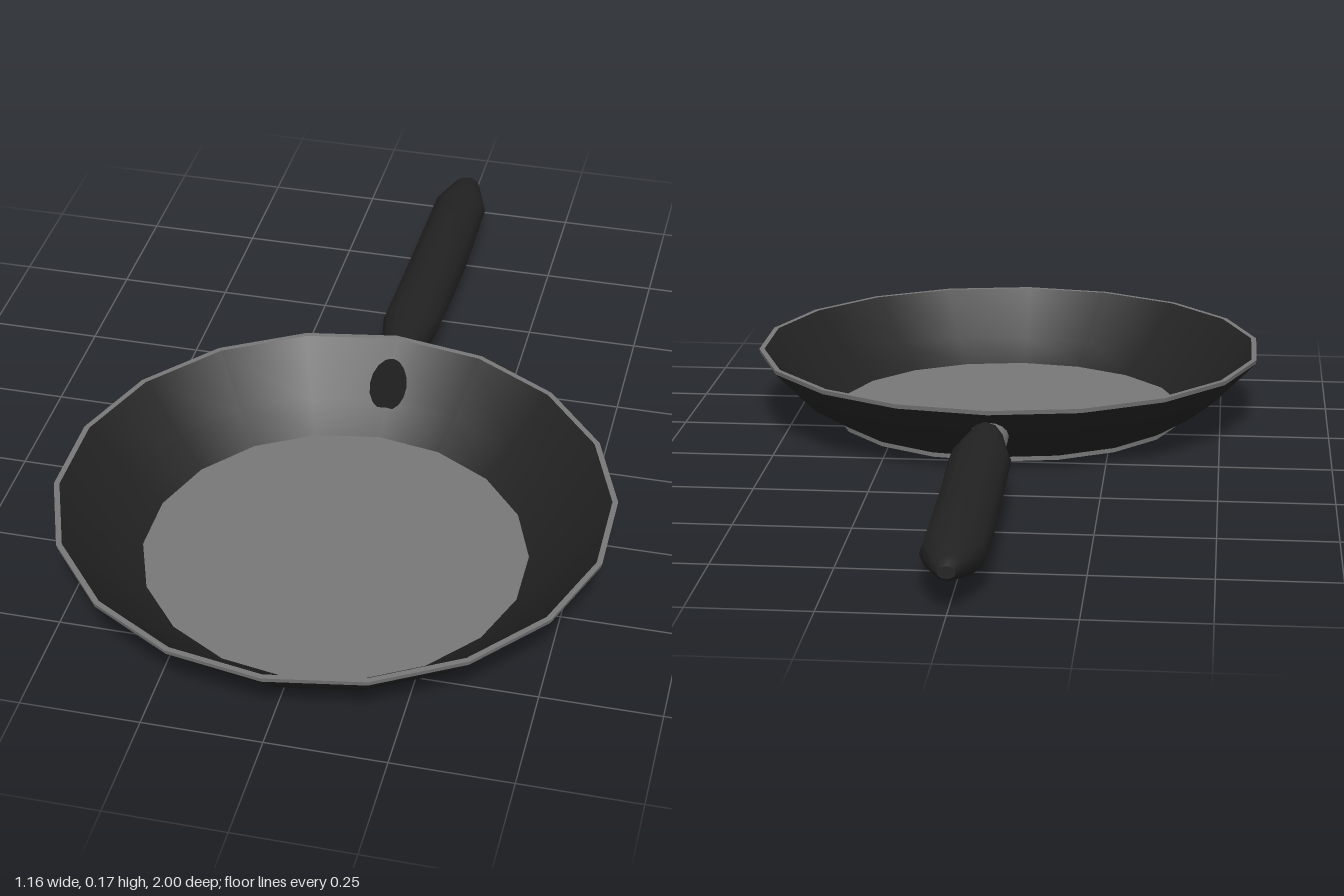
import * as THREE from 'three';

const SIDES = 18;
const PAN_Z = 0.41;

export function createModel() {
  const black = new THREE.MeshStandardMaterial({ color: 0x222222 });
  black.name = 'black coating';
  const steel = new THREE.MeshStandardMaterial({ color: 0x777777 });
  steel.name = 'grey steel';

  const model = new THREE.Group();
  model.name = 'fryingPan';
  const add = (parent, name, geometry, material) => {
    const mesh = new THREE.Mesh(geometry, material);
    mesh.name = name;
    parent.add(mesh);
    return mesh;
  };
  const lathe = (points) =>
    new THREE.LatheGeometry(points.map(([r, y]) => new THREE.Vector2(r, y)), SIDES);

  // Pan body: steel base, coated walls and a thin steel rim
  const pan = new THREE.Group();
  pan.name = 'pan';
  pan.position.z = PAN_Z;
  model.add(pan);
  const base = add(pan, 'base', new THREE.CylinderGeometry(0.412, 0.412, 0.012, SIDES), steel);
  base.position.y = 0.006;
  add(pan, 'outerWall', lathe([[0.412, 0.01], [0.495, 0.06], [0.588, 0.157]]), black);
  add(pan, 'innerWall', lathe([[0.578, 0.167], [0.482, 0.065], [0.41, 0.012]]), black);
  add(pan, 'rimSide', lathe([[0.588, 0.157], [0.59, 0.167]]), steel);
  add(pan, 'rimTop', lathe([[0.59, 0.167], [0.578, 0.167]]), steel);

  // Handle socket: its inner end is cut to follow the wall and capped in black
  const socket = new THREE.CylinderGeometry(0.042, 0.042, 0.2, 16);
  socket.rotateX(Math.PI / 2);
  socket.translate(0, 0.092, -0.11);
  const pos = socket.attributes.position;
  for (let i = 0; i < pos.count; i++) {
    if (pos.getZ(i) > -0.1) {
      const wall = PAN_Z - (0.421 + pos.getY(i)) + 0.176 * Math.abs(pos.getX(i));
      pos.setZ(i, wall + 0.008);
    }
  }
  add(model, 'handleSocket', socket, [steel, black, steel]);

  // Handle: oval sections [z, half width, bottom, top] joined front to back
  const sections = [
    [-0.2, 0.042, 0.037, 0.149],
    [-0.33, 0.066, 0.058, 0.148],
    [-0.53, 0.066, 0.022, 0.147],
    [-0.69, 0.066, 0.006, 0.142],
    [-0.88, 0.065, 0.032, 0.128],
    [-0.975, 0.032, 0.06, 0.112],
    [-1.0, 0.018, 0.072, 0.098],
  ];
  const N = 12;
  const verts = [];
  const index = [];
  const ring = ([z, w, lo, hi]) => {
    for (let i = 0; i < N; i++) {
      const a = (i / N) * Math.PI * 2;
      verts.push(w * Math.cos(a), (lo + hi) / 2 + ((hi - lo) / 2) * Math.sin(a), z);
    }
  };
  sections.forEach(ring);
  for (let s = 0; s < sections.length - 1; s++) {
    for (let i = 0; i < N; i++) {
      const a = s * N + i;
      const b = s * N + ((i + 1) % N);
      index.push(a, a + N, b, b, a + N, b + N);
    }
  }
  // Flat end caps on their own vertices
  const front = sections.length * N;
  const back = front + N;
  ring(sections[0]);
  ring(sections[sections.length - 1]);
  for (let i = 1; i < N - 1; i++) {
    index.push(front, front + i, front + i + 1);
    index.push(back, back + i + 1, back + i);
  }
  const handle = new THREE.BufferGeometry();
  handle.setAttribute('position', new THREE.Float32BufferAttribute(verts, 3));
  handle.setIndex(index);
  handle.computeVertexNormals();
  add(model, 'handle', handle, black);

  return model;
}
